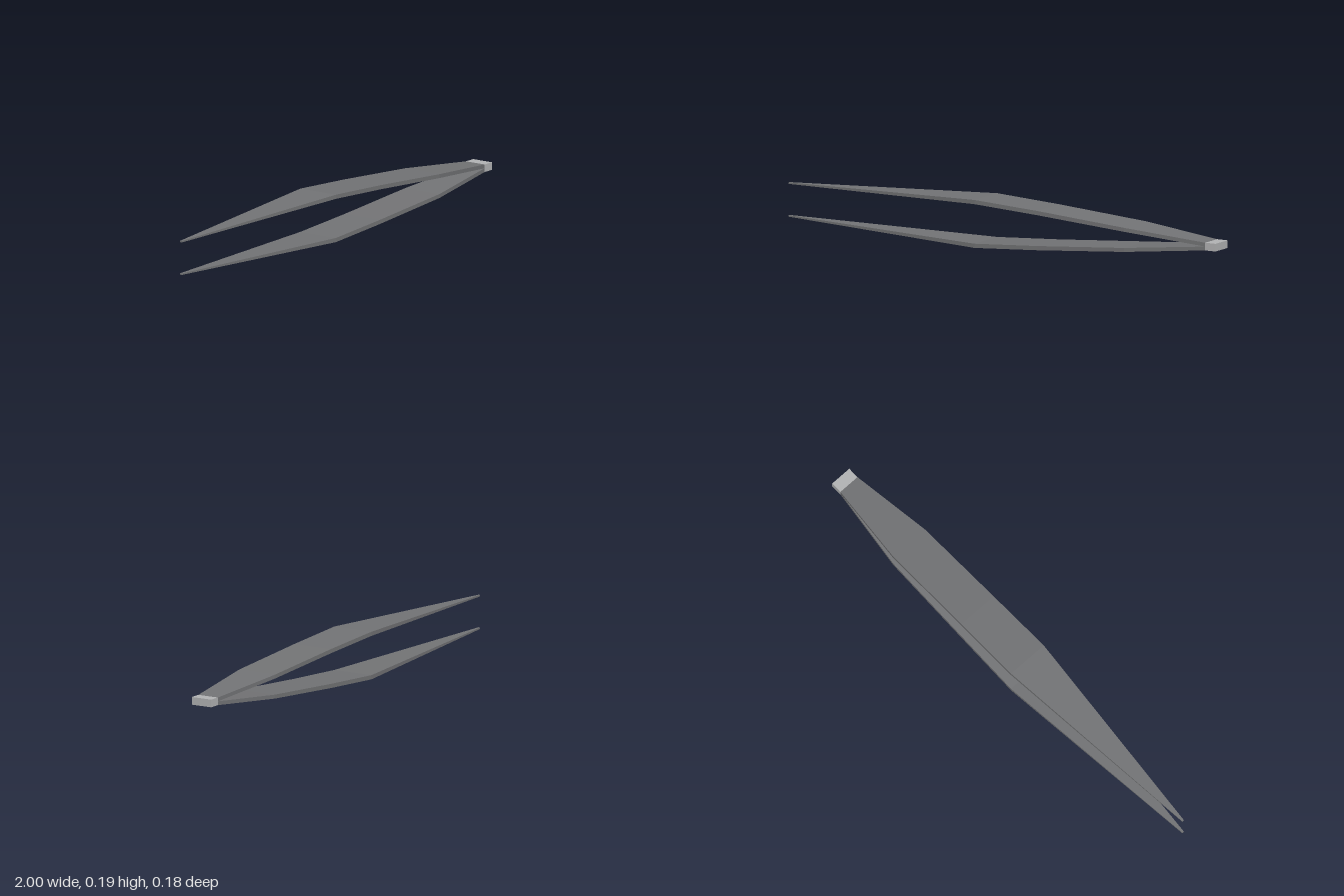
import * as THREE from 'three';

const MID = 0.0965; // height of the symmetry plane

// Arm cross-sections: x, outer height above the symmetry plane, thickness, half width
const SECTIONS = [
  [-1, 0.069, 0.006, 0.004],
  [-0.09, 0.0965, 0.017, 0.088],
  [0.2, 0.079, 0.017, 0.0865],
  [0.6, 0.0485, 0.016, 0.085],
  [0.952, 0.0155, 0.0155, 0.046],
];

// Flat-shaded loft of rectangular sections; side is 1 for the upper arm, -1 for the lower
function armGeometry(side) {
  const rings = SECTIONS.map(([x, outer, thick, half]) => {
    const a = MID + side * outer;
    const b = MID + side * (outer - thick);
    const lo = Math.min(a, b), hi = Math.max(a, b);
    return [[x, lo, half], [x, hi, half], [x, hi, -half], [x, lo, -half]];
  });
  const positions = [];
  const quad = (a, b, c, d) => positions.push(...a, ...b, ...c, ...a, ...c, ...d);
  for (let i = 0; i < rings.length - 1; i++) {
    const p = rings[i], q = rings[i + 1];
    for (let j = 0; j < 4; j++) {
      const k = (j + 1) % 4;
      quad(p[j], q[j], q[k], p[k]);
    }
  }
  // End faces
  const first = rings[0], last = rings[rings.length - 1];
  quad(first[0], first[1], first[2], first[3]);
  quad(last[3], last[2], last[1], last[0]);

  const geometry = new THREE.BufferGeometry();
  geometry.setAttribute('position', new THREE.Float32BufferAttribute(positions, 3));
  geometry.computeVertexNormals();
  return geometry;
}

export function createModel() {
  const darkSteel = new THREE.MeshStandardMaterial({ color: 0x737476 });
  darkSteel.name = 'darkSteel';
  const lightSteel = new THREE.MeshStandardMaterial({ color: 0xb4b5b6 });
  lightSteel.name = 'lightSteel';

  const group = new THREE.Group();
  group.name = 'tweezers';

  // Two mirrored spring arms
  for (const [name, side] of [['upperArm', 1], ['lowerArm', -1]]) {
    const arm = new THREE.Mesh(armGeometry(side), darkSteel);
    arm.name = name;
    group.add(arm);
  }

  // Block joining the arms
  const joint = new THREE.Mesh(new THREE.BoxGeometry(0.05, 0.031, 0.092), lightSteel);
  joint.name = 'jointBlock';
  joint.position.set(0.975, MID, 0);
  group.add(joint);

  return group;
}
